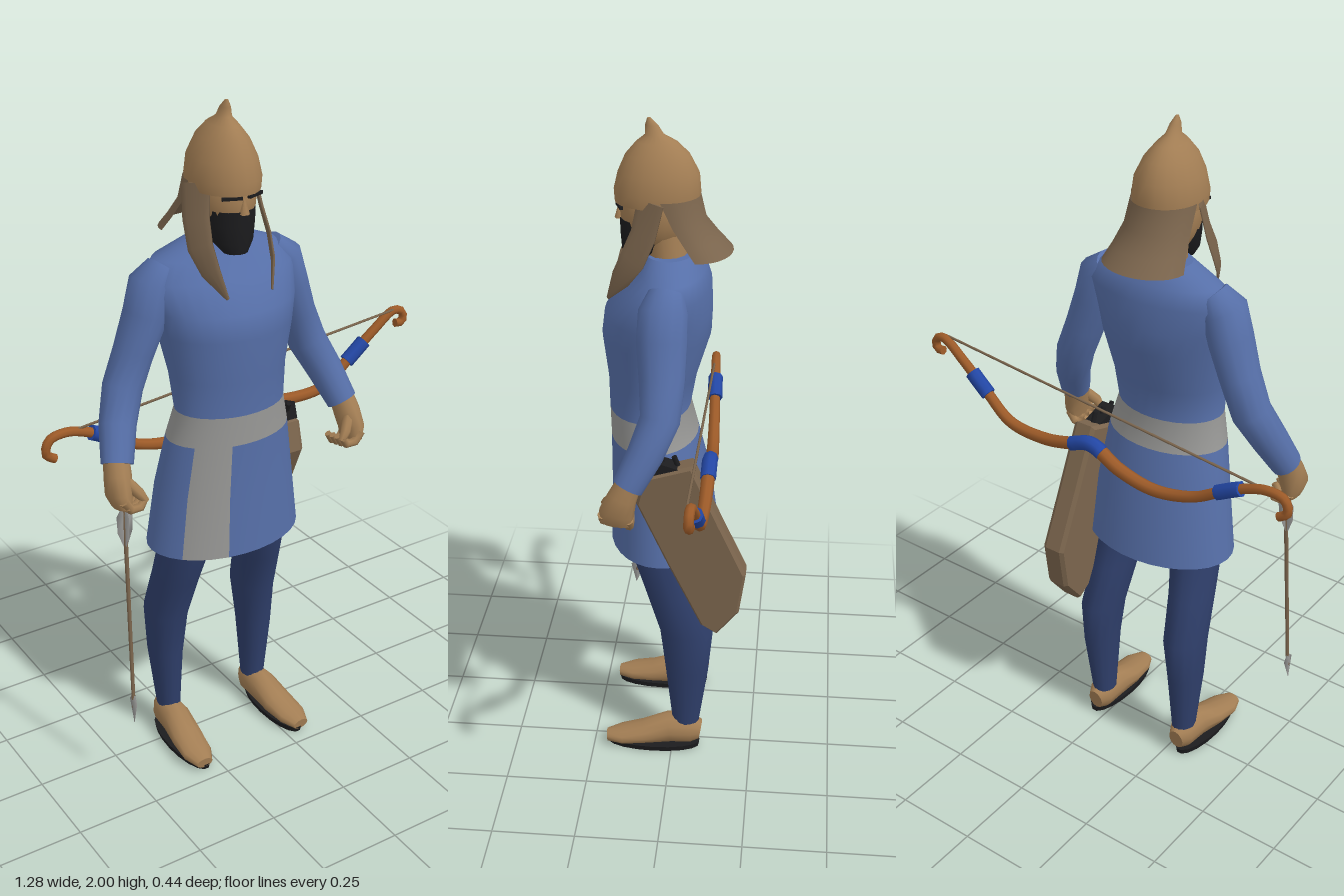
import * as THREE from 'three';

const mat = (name, color, side = THREE.FrontSide) => {
  const m = new THREE.MeshStandardMaterial({ color, side });
  m.name = name;
  return m;
};
const M = {
  tunic: mat('tunic blue', 0x566fa8),
  trousers: mat('trouser navy', 0x2f3f6b),
  tan: mat('tan', 0xa37e54),
  leather: mat('leather brown', 0x7b654d, THREE.DoubleSide),
  grey: mat('grey', 0x999997),
  wood: mat('bow wood', 0x9c5a28),
  wrap: mat('wrap blue', 0x2347a5),
  black: mat('black', 0x1c1c1e),
};
const V = (x, y, z) => new THREE.Vector3(x, y, z);

// Skin over a list of rings; pick(i, j) chooses the material index of a face
function loft(name, rings, mats, { pick = () => 0, closed = true } = {}) {
  const list = [].concat(mats), n = rings[0].length, pos = [], faces = list.map(() => []);
  rings.forEach(r => r.forEach(p => pos.push(p.x, p.y, p.z)));
  for (let i = 0; i < rings.length - 1; i++)
    for (let j = 0; j < (closed ? n : n - 1); j++) {
      const a = i * n + j, b = i * n + (j + 1) % n;
      faces[pick(i, j)].push(a, a + n, b, b, a + n, b + n);
    }
  if (closed) [rings[0], rings[rings.length - 1]].forEach((r, end) => {
    const base = pos.length / 3;
    const c = r.reduce((s, p) => s.add(p), V(0, 0, 0)).divideScalar(n);
    [...r, c].forEach(p => pos.push(p.x, p.y, p.z));
    for (let j = 0; j < n; j++) {
      const a = base + j, b = base + (j + 1) % n;
      faces[0].push(base + n, end ? b : a, end ? a : b);
    }
  });
  const g = new THREE.BufferGeometry();
  g.setAttribute('position', new THREE.Float32BufferAttribute(pos, 3));
  g.setIndex(faces.flat());
  let start = 0;
  faces.forEach((f, k) => { g.addGroup(start, f.length, k); start += f.length; });
  g.computeVertexNormals();
  const mesh = new THREE.Mesh(g, list.length > 1 ? list : list[0]);
  mesh.name = name;
  return mesh;
}

// Horizontal ellipse; rows are [y, rx, rz, cz, cx]
const oval = ([y, rx, rz, cz, cx = 0], n = 16, a0 = 0, a1 = Math.PI * 2, open = false) =>
  Array.from({ length: open ? n + 1 : n }, (_, j) => {
    const a = a0 + (a1 - a0) * j / n;
    return V(cx + rx * Math.cos(a), y, cz + rz * Math.sin(a));
  });
const stack = (name, rows, m, n = 16, opt) => loft(name, rows.map(r => oval(r, n)), m, opt);

// Sweep through points [x, y, z, ru, rv]; ru is measured along ref
function sweep(name, pts, m, ref = V(1, 0, 0), n = 10) {
  const c = pts.map(p => V(p[0], p[1], p[2]));
  return loft(name, pts.map((p, i) => {
    const t = c[Math.min(i + 1, c.length - 1)].clone().sub(c[Math.max(i - 1, 0)]).normalize();
    const u = ref.clone().addScaledVector(t, -ref.dot(t)).normalize();
    const v = u.clone().cross(t);
    return Array.from({ length: n }, (_, j) => {
      const a = j / n * Math.PI * 2;
      return c[i].clone().addScaledVector(u, p[3] * Math.cos(a))
        .addScaledVector(v, (p[4] ?? p[3]) * Math.sin(a));
    });
  }), m);
}

function solid(name, geo, m, x, y, z) {
  const mesh = new THREE.Mesh(geo, m);
  mesh.name = name;
  mesh.position.set(x, y, z);
  return mesh;
}

function buildTunic() {
  // Sash on one ring band, hanging panel on three front segments
  return stack('tunic', [
    [0.71, 0.24, 0.165, 0.035], [0.9, 0.215, 0.15, 0.045], [1.06, 0.188, 0.13, 0.065],
    [1.15, 0.166, 0.12, 0.078], [1.25, 0.175, 0.13, 0.07], [1.38, 0.2, 0.158, 0.058],
    [1.45, 0.215, 0.155, 0.052], [1.53, 0.232, 0.125, 0.025], [1.58, 0.19, 0.095, 0.01],
    [1.62, 0.09, 0.07, 0.02],
  ], [M.tunic, M.grey], 30, { pick: (i, j) => (i === 2 || (i < 2 && j >= 9 && j < 12)) ? 1 : 0 });
}

function buildHead() {
  const g = new THREE.Group();
  g.name = 'head';
  g.add(stack('neck', [[1.56, 0.07, 0.06, 0.02], [1.72, 0.06, 0.06, 0.04]], M.tan, 12));
  const face = solid('face', new THREE.SphereGeometry(1, 18, 12), M.tan, 0, 1.74, 0.06);
  face.scale.set(0.08, 0.12, 0.1);
  const nose = solid('nose', new THREE.ConeGeometry(0.014, 0.05, 6), M.tan, 0, 1.74, 0.162);
  g.add(face, nose);
  g.add(stack('beard', [
    [1.6, 0.035, 0.035, 0.115], [1.63, 0.058, 0.058, 0.098],
    [1.68, 0.07, 0.078, 0.082], [1.72, 0.073, 0.085, 0.076],
  ], M.black, 14));
  for (const s of [-1, 1]) {
    const brow = solid('eyebrow', new THREE.BoxGeometry(0.055, 0.009, 0.009), M.black, s * 0.036, 1.762, 0.158);
    brow.rotation.y = s * 0.35;
    g.add(brow);
    // Long cheek flaps hanging forward over the chest
    g.add(sweep('cheekFlap', [
      [s * 0.09, 1.79, 0.065, 0.006, 0.045], [s * 0.102, 1.7, 0.085, 0.006, 0.043],
      [s * 0.108, 1.63, 0.115, 0.006, 0.042], [s * 0.098, 1.57, 0.15, 0.006, 0.032],
      [s * 0.07, 1.5, 0.19, 0.003, 0.005],
    ], M.leather, V(s * 0.85, 0, 0.5)));
  }
  g.add(stack('helmet', [
    [1.768, 0.094, 0.12, 0.055], [1.8, 0.097, 0.122, 0.055], [1.85, 0.088, 0.114, 0.051],
    [1.9, 0.065, 0.09, 0.053], [1.935, 0.038, 0.057, 0.056], [1.955, 0.02, 0.026, 0.062],
    [1.98, 0.014, 0.018, 0.07], [2.0, 0.004, 0.005, 0.077],
  ], M.tan, 20));
  g.add(loft('neckGuard', [
    [1.63, 0.125, 0.1, -0.06], [1.67, 0.112, 0.093, -0.03], [1.72, 0.1, 0.088, 0.005],
    [1.79, 0.096, 0.105, 0.038],
  ].map(r => oval(r, 14, Math.PI, Math.PI * 2, true)), M.leather, { closed: false }));
  return g;
}

function buildArm(s) {
  const g = new THREE.Group();
  g.name = s > 0 ? 'leftArm' : 'rightArm';
  g.add(sweep('sleeve', [
    [s * 0.17, 1.56, 0.015, 0.04, 0.05], [s * 0.205, 1.52, 0.02, 0.062, 0.07],
    [s * 0.228, 1.44, 0.022, 0.06, 0.072], [s * 0.265, 1.34, 0.018, 0.055, 0.065],
    [s * 0.305, 1.24, 0.02, 0.056, 0.058], [s * 0.345, 1.15, 0.058, 0.052, 0.052],
    [s * 0.375, 1.06, 0.105, 0.045, 0.045],
  ], M.tunic, V(1, 0, 0), 14));
  g.add(sweep('palm', [
    [s * 0.375, 1.075, 0.1, 0.036], [s * 0.383, 1.03, 0.12, 0.038, 0.042],
    [s * 0.39, 0.985, 0.135, 0.034, 0.05], [s * 0.385, 0.95, 0.14, 0.022, 0.048],
  ], M.tan, V(1, 0, 0), 12));
  // Curled fingers and thumb
  for (let k = 0; k < 4; k++) {
    const z = 0.102 + k * 0.024, y = 0.005 * k;
    g.add(sweep('finger', [
      [s * 0.395, 0.965 + y, z, 0.015], [s * 0.375, 0.936 + y, z, 0.014],
      [s * 0.345, 0.936 + y, z, 0.013], [s * 0.33, 0.96 + y, z, 0.01],
    ], M.tan, V(0, 0, 1), 7));
  }
  g.add(sweep('thumb', [
    [s * 0.37, 1.02, 0.145, 0.018], [s * 0.345, 0.99, 0.17, 0.016], [s * 0.328, 0.965, 0.175, 0.01],
  ], M.tan, V(0, 0, 1), 7));
  return g;
}

function buildLeg(s) {
  const g = new THREE.Group();
  g.name = s > 0 ? 'leftLeg' : 'rightLeg';
  g.add(stack('trouserLeg', [
    [0.09, 0.035, 0.042, -0.043, s * 0.155], [0.3, 0.051, 0.068, -0.047, s * 0.16],
    [0.44, 0.062, 0.083, -0.045, s * 0.155], [0.58, 0.066, 0.084, 0.0, s * 0.143],
    [0.7, 0.072, 0.09, 0.035, s * 0.13], [0.82, 0.08, 0.095, 0.05, s * 0.115],
  ], M.trousers, 14));
  g.add(sweep('shoe', [
    [s * 0.158, 0.055, -0.09, 0.025, 0.035], [s * 0.158, 0.06, -0.06, 0.042, 0.05],
    [s * 0.16, 0.061, 0.01, 0.046, 0.051], [s * 0.167, 0.043, 0.09, 0.05, 0.034],
    [s * 0.174, 0.033, 0.16, 0.047, 0.024], [s * 0.176, 0.027, 0.208, 0.026, 0.017],
  ], M.tan, V(1, 0, 0), 12));
  g.add(stack('sole', [
    [0, 0.046, 0.146, 0.06, s * 0.168], [0.018, 0.05, 0.15, 0.06, s * 0.168],
  ], M.black, 18));
  return g;
}

function buildBow() {
  const g = new THREE.Group();
  g.name = 'bow';
  const curve = new THREE.CatmullRomCurve3([
    [-0.6, 1.02], [-0.627, 1.04], [-0.615, 1.08], [-0.56, 1.09], [-0.49, 1.07], [-0.42, 1.035],
    [-0.33, 0.985], [-0.2, 0.96], [-0.08, 0.985], [0.02, 1.035], [0.1, 1.01], [0.2, 0.99],
    [0.33, 1.0], [0.42, 1.07], [0.51, 1.145], [0.59, 1.2], [0.622, 1.185], [0.62, 1.155], [0.595, 1.155],
  ].map(([x, y]) => V(x, y, -0.097 - 0.013 * Math.cos(x * 2.5) + (x < 0 ? -x * 0.02 : 0))));
  const pts = curve.getSpacedPoints(90);
  const run = (name, list, r, m) =>
    g.add(sweep(name, list.map(p => [p.x, p.y, p.z, r(p)]), m, V(0, 0, 1), 8));
  run('bowStave', pts, p => 0.021 - 0.012 * Math.abs(p.x), M.wood);
  for (const [a, b] of [[-0.49, -0.4], [-0.02, 0.1], [0.41, 0.49]])
    run('bowWrap', pts.filter(p => p.x > a && p.x < b), () => 0.023, M.wrap);
  g.add(sweep('bowString', [[-0.55, 1.09, -0.085, 0.004], [0.58, 1.205, -0.09, 0.004]], M.leather, V(0, 0, 1), 5));
  return g;
}

function buildQuiver() {
  const g = new THREE.Group();
  g.name = 'quiver';
  // Side outline in (-z, y), turned so the thickness runs along x
  const shape = new THREE.Shape([
    [-0.07, 1.01], [0.06, 1.05], [0.14, 0.87], [0.218, 0.7], [0.2, 0.57], [0.14, 0.495],
    [0.1, 0.52], [0.0, 0.73], [-0.09, 0.93],
  ].map(([a, b]) => new THREE.Vector2(a, b)));
  const geo = new THREE.ExtrudeGeometry(shape, {
    depth: 0.05, bevelEnabled: true, bevelSize: 0.008, bevelThickness: 0.012, bevelSegments: 1,
  });
  geo.rotateY(Math.PI / 2);
  g.add(solid('quiverCase', geo, M.leather, 0.055, 0, 0));
  const mouth = solid('quiverMouth', new THREE.BoxGeometry(0.052, 0.05, 0.12), M.black, 0.082, 1.03, 0.01);
  mouth.rotation.x = -0.3;
  g.add(mouth);
  for (const z of [-0.03, 0.01, 0.05])
    g.add(sweep('arrowNock', [[0.08, 1.0, z - 0.01, 0.008], [0.08, 1.075, z + 0.02, 0.008]], M.black, V(1, 0, 0), 6));
  return g;
}

function buildArrow() {
  const g = new THREE.Group();
  g.name = 'heldArrow';
  g.add(sweep('arrowShaft', [[-0.498, 1.0, 0.12, 0.007], [-0.52, 0.3, 0.172, 0.006]], M.leather, V(1, 0, 0), 6));
  for (const wide of [true, false])
    g.add(sweep('fletching', [
      [-0.5, 0.94, 0.125, 0.004], [-0.501, 0.91, 0.127, wide ? 0.025 : 0.003, wide ? 0.003 : 0.025],
      [-0.503, 0.86, 0.13, wide ? 0.023 : 0.003, wide ? 0.003 : 0.023], [-0.505, 0.81, 0.134, 0.004],
    ], M.grey, V(1, 0, 0), 4));
  g.add(sweep('arrowHead', [
    [-0.519, 0.34, 0.169, 0.005], [-0.52, 0.32, 0.171, 0.006, 0.022], [-0.522, 0.25, 0.176, 0.001],
  ], M.grey, V(1, 0, 0), 4));
  return g;
}

export function createModel() {
  const model = new THREE.Group();
  model.name = 'archer';
  const body = new THREE.Group();
  body.name = 'body';
  body.position.x = -0.13;
  body.add(buildTunic(), buildHead());
  for (const s of [-1, 1]) body.add(buildArm(s), buildLeg(s));
  model.add(body, buildBow(), buildQuiver(), buildArrow());
  return model;
}
